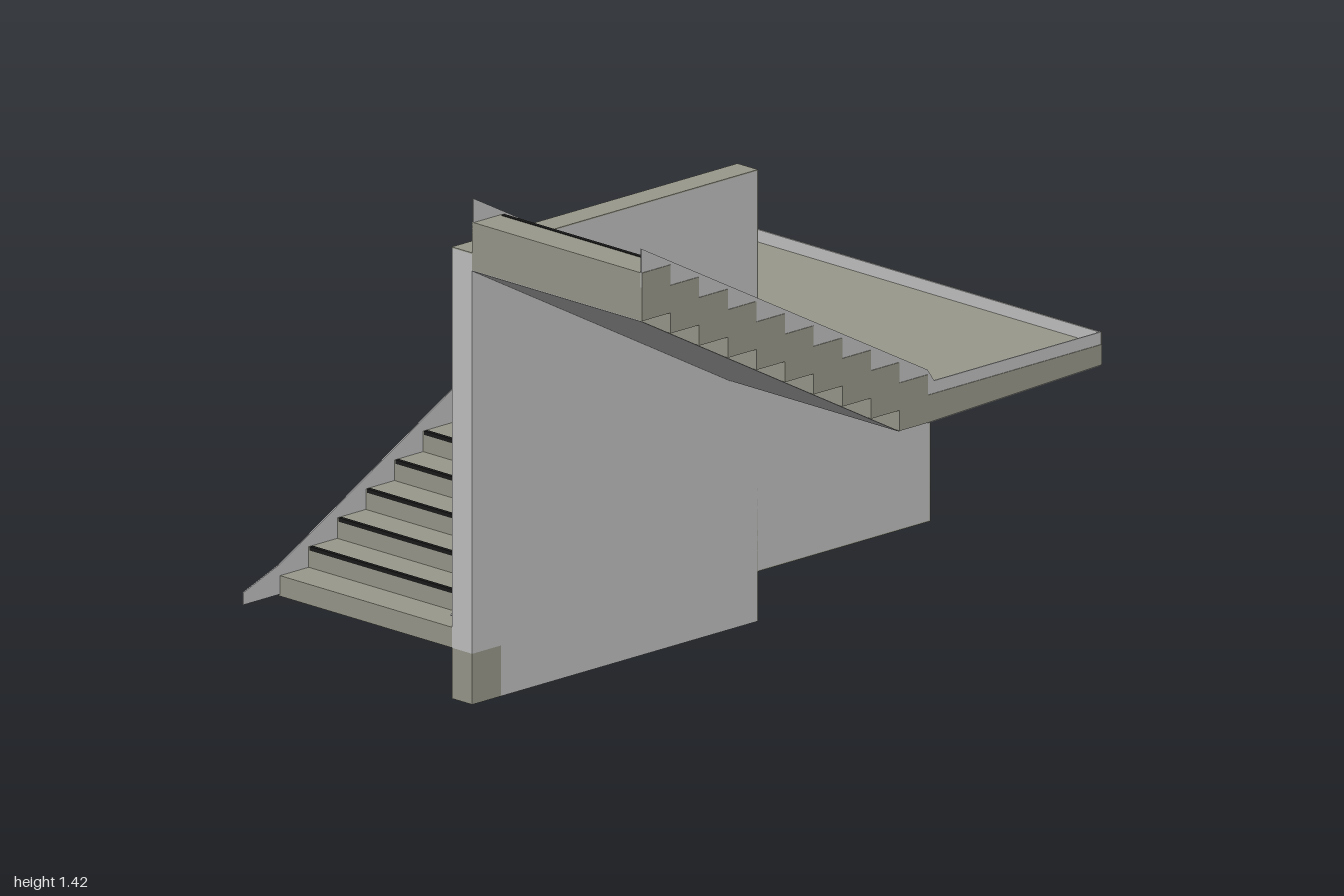
import * as THREE from 'three';

const olive = new THREE.MeshStandardMaterial({ color: 0x99998c });
olive.name = 'olive concrete';
const grey = new THREE.MeshStandardMaterial({ color: 0xc2c2c2, side: THREE.DoubleSide });
grey.name = 'light grey plaster';
const black = new THREE.MeshStandardMaterial({ color: 0x1a1a1a });
black.name = 'black nosing';

const RUN = 0.1078, RISE = 0.0577, STEPS = 10;
const FRONT = 0.797, BACK = -0.935, EDGE = FRONT - STEPS * RUN; // EDGE: front of landing
const BASE = 0.1425, FLOOR = BASE + RISE * (STEPS + 1), TOP = FLOOR + RISE * STEPS;
const HALF = 0.694, WALL0 = -0.032, WALL1 = 0.046, RAIL = 0.812;

const shapeOf = (pts) => new THREE.Shape(pts.map(([z, y]) => new THREE.Vector2(z, y)));

export function createModel() {
  const model = new THREE.Group();
  model.name = 'staircase';
  const body = new THREE.Group();
  body.name = 'turnedBody';
  body.rotation.y = 0.101;
  model.add(body);

  const add = (name, geometry, material) => {
    const mesh = new THREE.Mesh(geometry, material);
    mesh.name = name;
    body.add(mesh);
    return mesh;
  };
  const box = (name, x0, x1, y0, y1, z0, z1, material) =>
    add(name, new THREE.BoxGeometry(x1 - x0, y1 - y0, z1 - z0)
      .translate((x0 + x1) / 2, (y0 + y1) / 2, (z0 + z1) / 2), material);
  // Side profile of [z, y] points, extruded from x0 to x1
  const slab = (name, pts, x0, x1, material) =>
    add(name, new THREE.ExtrudeGeometry(shapeOf(pts), { depth: x1 - x0, bevelEnabled: false })
      .rotateY(-Math.PI / 2).translate(x1, 0, 0), material);
  // Flat face looking towards -x
  const face = (name, pts, x, material) =>
    add(name, new THREE.ShapeGeometry(shapeOf(pts)).rotateY(-Math.PI / 2).translate(x, 0, 0), material);

  // Lower flight, stepped above and below
  const lower = [];
  for (let k = 0; k <= STEPS; k++) {
    const z = FRONT - k * RUN, y = BASE + k * RISE;
    lower.push([z, y], [z, y + RISE]);
  }
  for (let j = STEPS - 1; j >= 0; j--) {
    const z = FRONT - (j + 2) * RUN, y = BASE + j * RISE;
    if (j < STEPS - 1) lower.push([z, y + RISE], [z, y]);
    else lower.push([EDGE - 0.02, FLOOR], [EDGE - 0.02, y], [EDGE, y]);
  }
  slab('lowerFlight', lower, -HALF, WALL0, olive);

  // Upper flight, rising to the front
  const upper = [];
  for (let k = 0; k < STEPS; k++) {
    const z = EDGE + k * RUN, y = FLOOR + k * RISE;
    upper.push([z, y], [z, y + RISE]);
  }
  upper.push([FRONT, TOP]);
  const under = TOP - 0.135;
  upper.push([FRONT, under]);
  for (let i = 1; i < STEPS; i++) {
    const z = FRONT - i * RUN;
    upper.push([z, under - (i - 1) * RISE], [z, under - i * RISE]);
  }
  const low = under - (STEPS - 1) * RISE, lowZ = FRONT - (STEPS - 1) * RUN;
  upper.push([EDGE, low]);
  slab('upperFlight', upper, WALL1, HALF, olive);

  // Sloping sheet under the upper flight
  const d = 0.002;
  slab('upperSoffit', [[FRONT, under], [lowZ, low], [lowZ, low - d], [FRONT, under - d]], WALL1, HALF, grey);

  // Black nosing on every step edge
  for (let k = 1; k <= STEPS; k++) {
    const z = FRONT - k * RUN, y = BASE + (k + 1) * RISE;
    box('lowerNosing', -HALF + 0.012, WALL0 - 0.012, y - 0.009, y + 0.002, z - 0.01, z + 0.002, black);
    const zu = EDGE + (k - 1) * RUN, yu = FLOOR + k * RISE;
    box('upperNosing', WALL1 + 0.012, HALF - 0.012, yu - 0.009, yu + 0.002, zu - 0.002, zu + 0.01, black);
  }

  // Landing with a slightly warped underside
  const landing = box('landing', -HALF, HALF, 0.66, FLOOR, BACK, EDGE, olive);
  const p = landing.geometry.attributes.position;
  for (let i = 0; i < p.count; i++) {
    if (p.getY(i) < 0.7 && p.getX(i) > 0) p.setY(i, p.getZ(i) < -0.6 ? 0.72 : low);
  }
  landing.geometry.computeVertexNormals();
  const c = (x, y, z) => new THREE.Vector3(x, y - 0.002, z);
  add('landingSoffit', new THREE.BufferGeometry().setFromPoints([
    c(-HALF, 0.66, BACK), c(HALF, 0.72, BACK), c(HALF, low, EDGE),
    c(-HALF, 0.66, BACK), c(HALF, low, EDGE), c(-HALF, 0.66, EDGE),
  ]), grey).geometry.computeVertexNormals();

  // Central wall: tall part, low part under the landing, foot and olive trims
  box('wall', WALL0, WALL1, BASE, 1.265, -0.276, FRONT, grey);
  box('wallBase', WALL0, WALL1, 0, BASE, -0.276, FRONT - RUN, grey);
  box('wallFoot', WALL0, WALL1, 0, BASE, FRONT - RUN, FRONT, olive);
  box('wallUnderLanding', WALL0, WALL1, BASE, 0.7, -0.925, -0.276, grey);
  box('wallCap', WALL0, WALL1, 1.265, 1.268, -0.276, FRONT, olive);
  box('wallBackTrim', WALL0, WALL1, 0, 1.268, -0.279, -0.276, olive);
  box('wallLowBackTrim', WALL0, WALL1, BASE, 0.69, -0.928, -0.925, olive);
  box('wallBottomTrim', WALL0, WALL1, BASE - 0.003, BASE, -0.928, -0.279, olive);
  face('wallUnderFace', [[FRONT - RUN, 0], [FRONT - RUN, BASE], [FRONT - 2 * RUN, BASE + 0.02],
    [EDGE, 0.68], [-0.925, 0.68], [-0.925, BASE], [-0.276, BASE], [-0.276, 0]], WALL0 - 0.002, olive);

  // Thin parapets beside the flights and around the landing
  const lowerRail = [[0.935, 0.148], [0.935, 0.182], [FRONT, 0.232], [EDGE, RAIL],
    [EDGE, 0.7], [FRONT - RUN, 0.17], [FRONT - RUN, 0.148]];
  const upperRail = [[FRONT, 1.422], [EDGE, 0.848], [EDGE - 0.025, RAIL],
    [EDGE - 0.025, 0.74], [EDGE, 0.74], [FRONT, 1.313]];
  const landingRail = [[EDGE, RAIL], [BACK, RAIL], [BACK, 0.74], [EDGE, 0.74]];
  slab('lowerOuterParapet', lowerRail, -0.692, -0.688, grey);
  face('lowerParapetOutside', lowerRail, -0.6935, olive);
  slab('lowerInnerParapet', lowerRail.slice(2, 6), WALL0 - 0.008, WALL0 - 0.004, grey);
  slab('upperOuterParapet', upperRail, 0.688, 0.692, grey);
  slab('upperInnerParapet', upperRail, WALL1 + 0.001, WALL1 + 0.005, grey);
  slab('landingRightParapet', landingRail, -0.692, -0.688, grey);
  face('landingParapetOutside', landingRail, -0.6935, olive);
  slab('landingLeftParapet', landingRail, 0.688, 0.692, grey);
  box('landingBackParapet', -0.692, 0.692, 0.74, RAIL, BACK + 0.002, BACK + 0.005, grey);
  box('backParapetOutside', -HALF, HALF, 0.74, RAIL, BACK - 0.001, BACK + 0.002, olive);

  return model;
}
